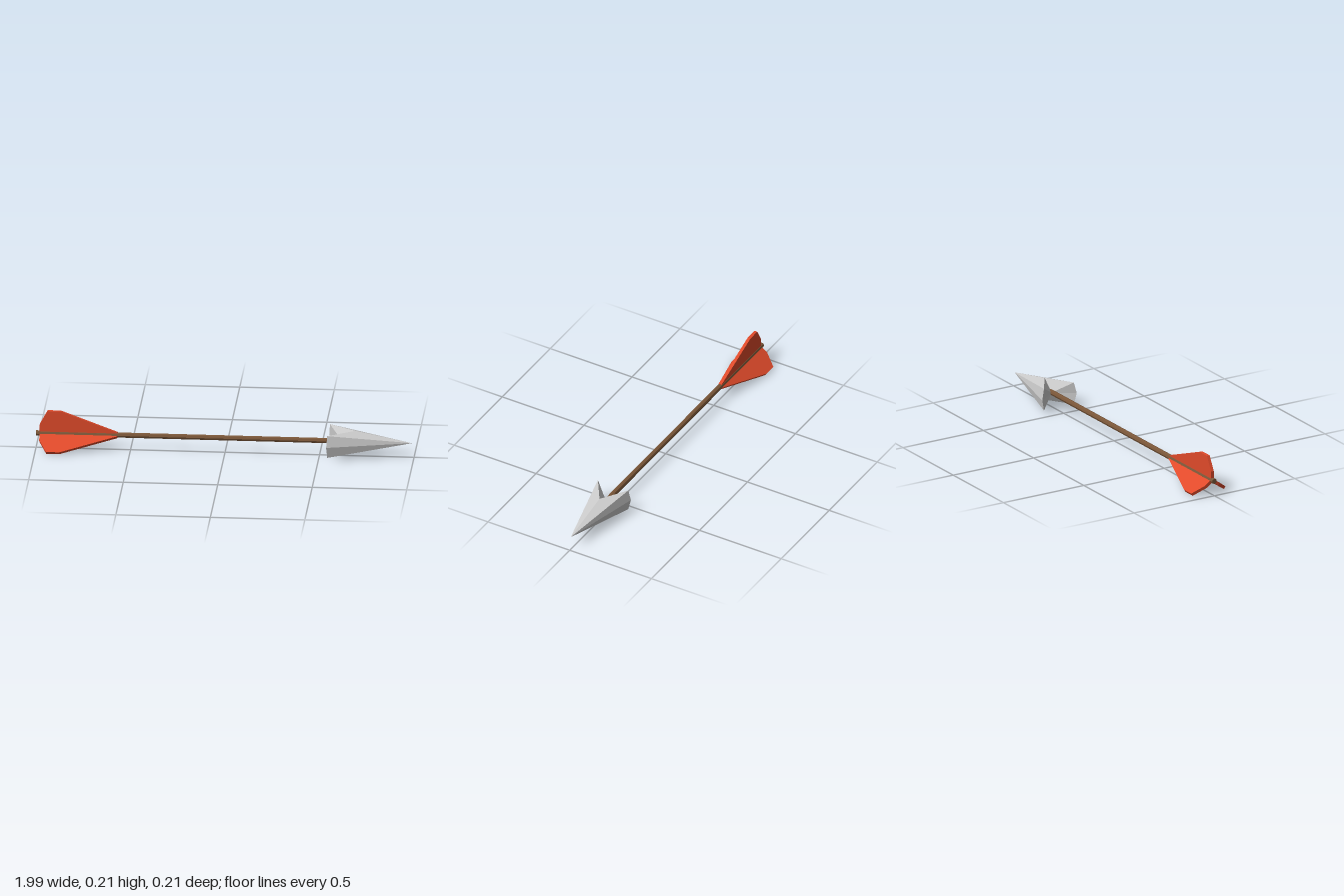
import * as THREE from 'three';

const AXIS_Y = 0.079;

const material = (color) => new THREE.MeshStandardMaterial({ color, flatShading: true });

// Barbed head: eight-sided point in front, hollow swallow-tail notch behind
function createHead() {
  const tip = [0.99, -0.002, 0];
  const notch = [0.62, -0.002, 0];
  // Ring runs from +y towards +z
  const ring = [
    [0.69, 0.059, 0], [0.548, 0.059, 0.093], [0.543, -0.002, 0.108], [0.548, -0.063, 0.093],
    [0.69, -0.063, 0], [0.548, -0.063, -0.093], [0.543, -0.002, -0.106], [0.548, 0.059, -0.093],
  ];
  const positions = [];
  ring.forEach((a, i) => {
    const b = ring[(i + 1) % ring.length];
    positions.push(...tip, ...a, ...b, ...notch, ...b, ...a);
  });
  const geometry = new THREE.BufferGeometry();
  geometry.setAttribute('position', new THREE.Float32BufferAttribute(positions, 3));
  geometry.computeVertexNormals();
  const head = new THREE.Mesh(geometry, material(0xcccccc));
  head.name = 'arrowhead';
  return head;
}

// Three flat vanes around the tail
function createFletching() {
  const outline = [[-0.98, 0], [-0.98, 0.05], [-0.939, 0.126], [-0.869, 0.126], [-0.57, 0.015], [-0.56, 0]];
  const shape = new THREE.Shape(outline.map(([x, y]) => new THREE.Vector2(x, y)));
  const thickness = 0.017;
  const geometry = new THREE.ExtrudeGeometry(shape, { depth: thickness, bevelEnabled: false });
  geometry.translate(0, 0, -thickness / 2);
  const vanes = new THREE.Group();
  vanes.name = 'fletching';
  const vaneMaterial = material(0xe04a2a);
  for (const degrees of [0, 126, -126]) {
    const vane = new THREE.Mesh(geometry, vaneMaterial);
    vane.name = 'vane';
    vane.rotation.x = THREE.MathUtils.degToRad(degrees);
    vanes.add(vane);
  }
  return vanes;
}

export function createModel() {
  const arrow = new THREE.Group();
  arrow.name = 'arrow';

  // Shaft runs from the tail into the head
  const start = -1, end = 0.66;
  const shaftGeometry = new THREE.CylinderGeometry(0.0145, 0.0145, end - start, 8);
  shaftGeometry.rotateZ(-Math.PI / 2);
  const shaft = new THREE.Mesh(shaftGeometry, material(0x7a5638));
  shaft.name = 'shaft';
  shaft.position.x = (start + end) / 2;

  arrow.add(shaft, createHead(), createFletching());
  arrow.children.forEach((part) => { part.position.y = AXIS_Y; });
  return arrow;
}
